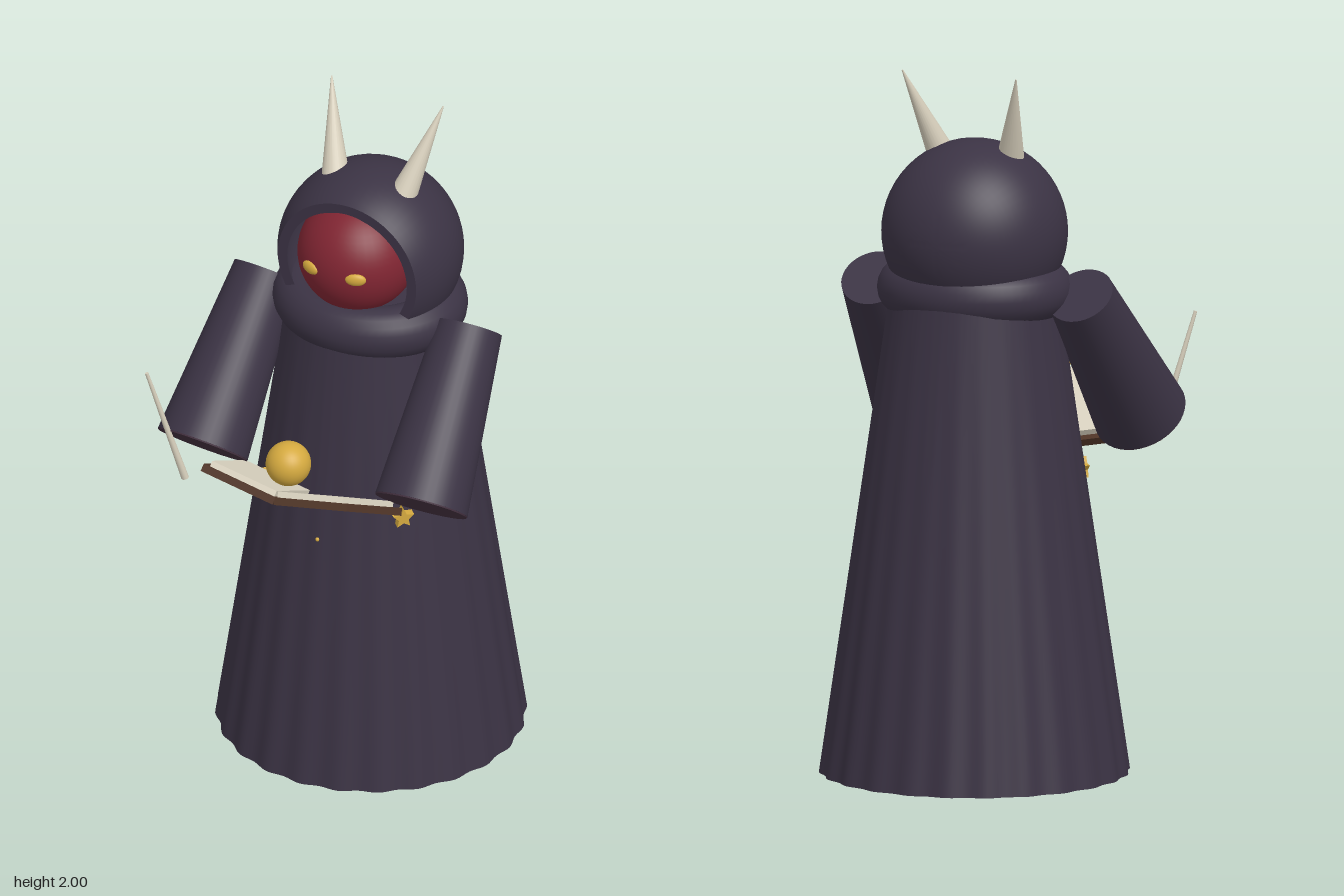
import * as THREE from 'three';
import { toCreasedNormals } from 'three/addons/utils/BufferGeometryUtils.js';

export function createModel() {
  const model = new THREE.Group();
  const mat = (name, color, extra = {}) => {
    const m = new THREE.MeshStandardMaterial({ color, ...extra });
    m.name = name;
    return m;
  };
  const cloth = mat('dark cloth', 0x3b3344);
  const cuffCloth = mat('plum cuff', 0x43303f);
  const skin = mat('red skin', 0x802532);
  const gold = mat('gold', 0xd4a93f);
  const bone = mat('bone', 0xd6cebb);
  const paper = mat('paper', 0xe0d9c6);
  const leather = mat('brown leather', 0x523729);

  const V = (x, y, z) => new THREE.Vector3(x, y, z);
  const add = (name, geo, material, x = 0, y = 0, z = 0, parent = model) => {
    const m = new THREE.Mesh(geo, material);
    m.name = name;
    m.position.set(x, y, z);
    parent.add(m);
    return m;
  };
  // Tapered rod from a to b
  const rod = (name, a, b, ra, rb, material, sides = 24) => {
    const dir = b.clone().sub(a);
    const m = add(name, new THREE.CylinderGeometry(rb, ra, dir.length(), sides), material);
    m.position.copy(a).add(b).multiplyScalar(0.5);
    m.quaternion.setFromUnitVectors(V(0, 1, 0), dir.normalize());
    return m;
  };

  // Robe: a tapered column whose pleats deepen toward the hem
  const robe = new THREE.CylinderGeometry(0.23, 0.433, 1.42, 192, 12);
  const p = robe.attributes.position;
  for (let i = 0; i < p.count; i++) {
    const x = p.getX(i), z = p.getZ(i);
    const depth = 0.011 * (0.71 - p.getY(i)) / 1.42;
    const k = 1 + depth * Math.cos(24 * Math.atan2(x, z));
    p.setX(i, x * k);
    p.setZ(i, z * k);
  }
  add('robe', toCreasedNormals(robe, 0.7), cloth, 0, 0.71, -0.08);

  // Collar of gathered cloth
  const collar = add('collar', new THREE.TorusGeometry(0.19, 0.07, 20, 64).rotateX(Math.PI / 2),
    cloth, 0, 1.375, -0.075);
  collar.scale.set(1.08, 1.1, 0.96);

  // Hood: open-fronted hollow shell
  const profile = [];
  const outer = 0.262, inner = 0.238, cut = 0.145;
  const arc = (r, reverse) => {
    const end = Math.asin(cut / r), pts = [];
    for (let i = 0; i <= 28; i++) {
      const a = -Math.PI / 2 + (end + Math.PI / 2) * i / 28;
      pts.push(new THREE.Vector2(Math.max(0, r * Math.cos(a)), r * Math.sin(a)));
    }
    return reverse ? pts.reverse() : pts;
  };
  profile.push(...arc(outer, false), ...arc(inner, true));
  const hood = new THREE.LatheGeometry(profile, 56).rotateX(Math.PI / 2);
  add('hood', toCreasedNormals(hood, 0.7), cloth, 0, 1.538, -0.078);

  // Head
  add('head', new THREE.SphereGeometry(0.17, 40, 28), skin, 0, 1.572, 0);

  // Five-pointed star clasp
  const star = new THREE.Shape();
  for (let i = 0; i < 10; i++) {
    const r = i % 2 ? 0.015 : 0.032, a = Math.PI / 2 + i * Math.PI / 5;
    star[i ? 'lineTo' : 'moveTo'](r * Math.cos(a), r * Math.sin(a));
  }
  const starGeo = new THREE.ExtrudeGeometry(star, { depth: 0.03, bevelEnabled: false }).translate(0, 0, -0.01);

  for (const s of [1, -1]) {
    const side = s > 0 ? 'left' : 'right';

    // Eyes
    const eye = add(side + 'Eye', new THREE.SphereGeometry(1, 20, 14), gold, s * 0.071, 1.58, 0.152);
    eye.scale.set(0.03, 0.019, 0.012);
    eye.rotation.y = s * 0.35;

    // Horns, rooted inside the hood
    rod(side + 'Horn', V(s * 0.088, 1.68, -0.04), V(s * 0.176, 2.0, -0.18), 0.05, 0.002, bone);

    // Sleeves with a cuff disc closing the opening
    const shoulder = V(s * 0.32, 1.375, -0.06), wrist = V(s * 0.345, 0.985, 0.28);
    rod(side + 'Sleeve', shoulder, wrist, 0.095, 0.134, cloth, 40);
    const out = wrist.clone().sub(shoulder).normalize();
    rod(side + 'Cuff', wrist, wrist.clone().addScaledVector(out, 0.004), 0.133, 0.132, cuffCloth, 40);

    // Clasps on the robe
    add(side + 'Clasp', starGeo, gold, s * 0.217, 0.84, 0.152).rotation.y = s * 0.77;

    // Half of the open book, tilted along its own axes
    const half = new THREE.Group();
    half.name = side + 'BookHalf';
    const vAxis = V(-s * 0.03, 0.165, 0.28).normalize();
    const up = V(0.225, s * 0.045, 0).cross(vAxis).normalize().negate();
    const uAxis = up.clone().cross(vAxis).normalize();
    half.quaternion.setFromRotationMatrix(new THREE.Matrix4().makeBasis(uAxis, up, vAxis));
    half.position.set(s * 0.129, 0.968, 0.372);
    model.add(half);
    add('bookCover', new THREE.BoxGeometry(0.232, 0.022, 0.325), leather, 0, 0, 0, half);
    add('bookPages', new THREE.BoxGeometry(0.208, 0.018, 0.298), paper,
      uAxis.x * -s * 0.006, 0.019, 0.007, half);
  }

  // Small stud at the front of the robe
  add('stud', new THREE.SphereGeometry(0.006, 10, 8), gold, 0, 0.75, 0.248);

  // Orb floating over the book
  add('orb', new THREE.SphereGeometry(0.064, 36, 24), gold, 0, 1.104, 0.425);

  // Slim wand by the right hand
  rod('wand', V(-0.37, 0.9, 0.34), V(-0.455, 1.262, 0.41), 0.011, 0.005, bone, 12);

  return model;
}
